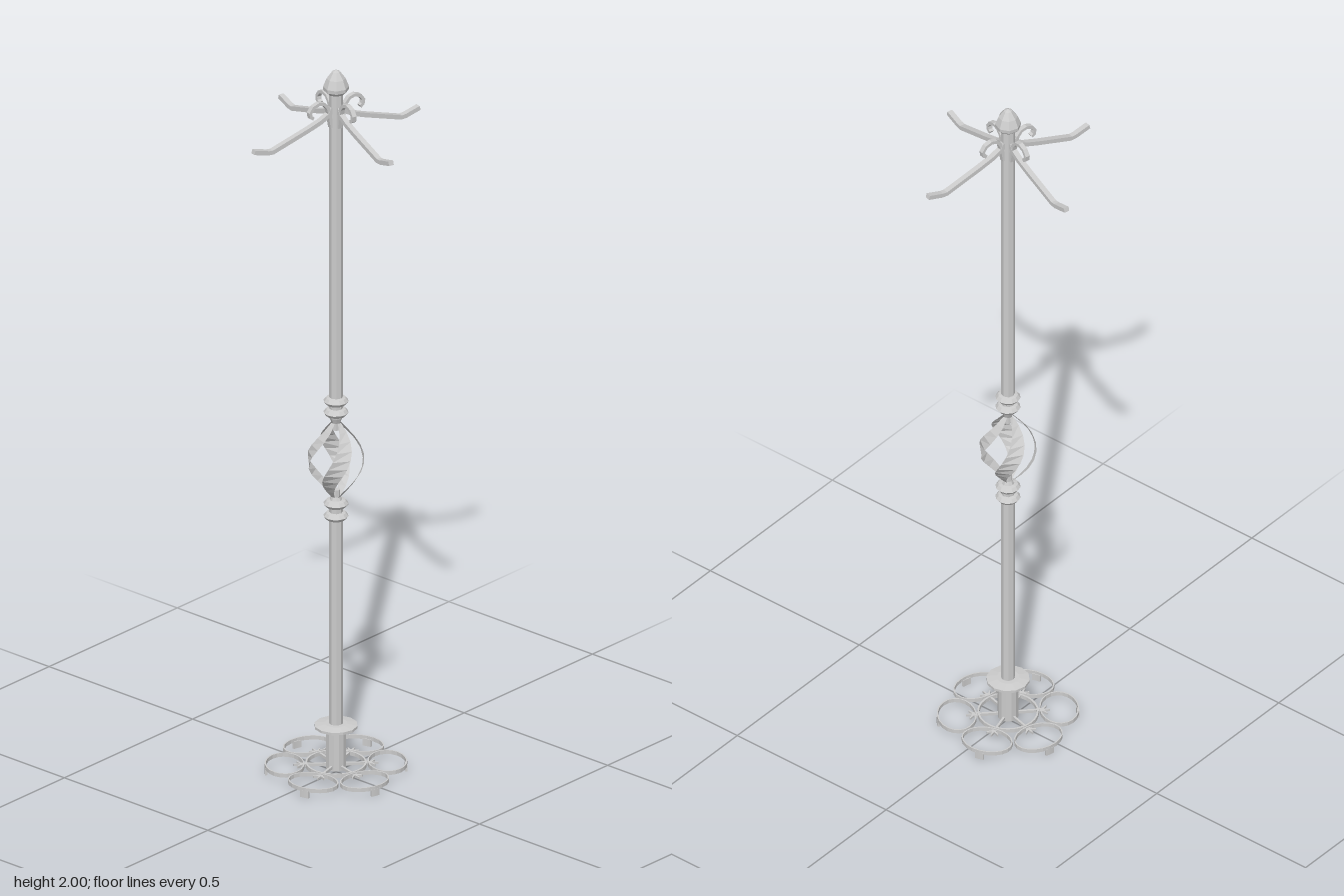
import * as THREE from 'three';

const iron = new THREE.MeshStandardMaterial({ color: 0xcccccc, flatShading: true, side: THREE.DoubleSide });
const TURN = THREE.MathUtils.degToRad(14.5);

function add(parent, name, geometry, y = 0) {
  const mesh = new THREE.Mesh(geometry, iron);
  mesh.name = name;
  mesh.position.y = y;
  parent.add(mesh);
  return mesh;
}

// Turned part from [radius, height] pairs
const turned = (profile, sides = 8) =>
  new THREE.LatheGeometry(profile.map(([r, y]) => new THREE.Vector2(r, y)), sides);

// Flat bar bent along a side profile in the xy plane
function bentBar(path, thick, width) {
  const pts = path.map(([x, y]) => new THREE.Vector2(x, y));
  const sides = [[], []];
  pts.forEach((p, i) => {
    const a = pts[Math.max(i - 1, 0)], b = pts[Math.min(i + 1, pts.length - 1)];
    const n = new THREE.Vector2(a.y - b.y, b.x - a.x).normalize().multiplyScalar(thick / 2);
    sides[0].push(p.clone().add(n));
    sides[1].unshift(p.clone().sub(n));
  });
  const geo = new THREE.ExtrudeGeometry(new THREE.Shape([...sides[0], ...sides[1]]),
    { depth: width, bevelEnabled: false });
  return geo.translate(0, 0, -width / 2);
}

// Plate lying flat, rising by height from y = 0
const plate = (shape, height, curveSegments = 10) =>
  new THREE.ExtrudeGeometry(shape, { depth: height, bevelEnabled: false, curveSegments }).rotateX(-Math.PI / 2);

function ovalRing(rx, ry, wire) {
  const shape = new THREE.Shape().absellipse(0, 0, rx, ry, 0, Math.PI * 2);
  shape.holes.push(new THREE.Path().absellipse(0, 0, rx - wire, ry - wire, 0, Math.PI * 2));
  return shape;
}

// Twisted leaf of the basket: wide in the middle, pinched at both ends
function basketStrip(startAngle) {
  const rows = 10, pos = [], index = [];
  for (let i = 0; i <= rows; i++) {
    const t = i / rows, bulge = Math.sin(Math.PI * t);
    const angle = startAngle - (t - 0.5) * Math.PI / 2;
    const r = 0.012 + 0.06 * Math.pow(bulge, 1.1);
    const half = 0.006 + 0.019 * bulge;
    for (const s of [-1, 1]) {
      pos.push(r * Math.cos(angle) - s * half * Math.sin(angle), 0.785 + 0.21 * t,
        r * Math.sin(angle) + s * half * Math.cos(angle));
    }
    if (i < rows) {
      const k = i * 2;
      index.push(k, k + 2, k + 1, k + 1, k + 2, k + 3);
    }
  }
  const geo = new THREE.BufferGeometry();
  geo.setAttribute('position', new THREE.Float32BufferAttribute(pos, 3));
  geo.setIndex(index);
  geo.computeVertexNormals();
  return geo;
}

export function createModel() {
  const model = new THREE.Group();
  model.name = 'coatStand';

  // Pole in two lengths, necked where the basket sits between them
  add(model, 'lowerPole', turned([[0, 0.1], [0.018, 0.1], [0.018, 0.77], [0.011, 0.785], [0.011, 0.805], [0, 0.805]]));
  add(model, 'upperPole', turned([[0, 0.975], [0.011, 0.975], [0.011, 0.995], [0.018, 1.01], [0.018, 1.94], [0, 1.94]]));

  // Collar rings above and below the basket
  for (const y of [0.73, 0.765, 1.025, 1.057]) {
    add(model, 'collarRing', turned([[0.017, -0.011], [0.026, -0.009], [0.033, 0], [0.026, 0.009], [0.017, 0.011]], 12), y);
  }

  const basket = new THREE.Group();
  basket.name = 'twistedBasket';
  model.add(basket);
  for (let i = 0; i < 4; i++) add(basket, 'basketStrip', basketStrip(Math.PI / 4 + i * Math.PI / 2));

  // Bud-shaped finial
  add(model, 'finial', turned([[0, 1.93], [0.022, 1.932], [0.033, 1.942], [0.034, 1.952], [0.025, 1.975], [0.011, 1.994], [0, 2]]));

  // Four coat arms, each with a small curled hook above
  for (let i = 0; i < 4; i++) {
    const hook = new THREE.Group();
    hook.name = 'hook';
    hook.rotation.y = -(TURN + i * Math.PI / 2);
    model.add(hook);
    add(hook, 'coatArm', bentBar([[0.014, 1.895], [0.024, 1.878], [0.05, 1.864], [0.09, 1.85], [0.2, 1.816],
      [0.215, 1.817], [0.258, 1.829]], 0.012, 0.015));
    add(hook, 'curledHook', bentBar([[0.016, 1.84], [0.022, 1.875], [0.028, 1.898], [0.04, 1.912], [0.056, 1.916],
      [0.073, 1.91], [0.083, 1.896], [0.081, 1.884], [0.073, 1.879]], 0.009, 0.013));
  }

  // Base socket with its flange
  add(model, 'baseSocket', turned([[0, 0.012], [0.027, 0.012], [0.027, 0.12], [0.04, 0.124], [0.057, 0.128],
    [0.057, 0.135], [0.03, 0.139], [0.018, 0.139]], 12));
  add(model, 'innerRing', plate(ovalRing(0.08, 0.08, 0.005), 0.011, 14), 0.017);

  // Six oval loops with a three-pronged ornament, spoke and foot each
  const prongs = new THREE.Shape([[0.076, -0.012], [0.084, -0.006], [0.09, -0.007], [0.1, -0.017], [0.102, -0.015],
    [0.094, -0.003], [0.11, -0.001], [0.11, 0.001], [0.094, 0.003], [0.102, 0.015], [0.1, 0.017], [0.09, 0.007],
    [0.084, 0.006], [0.076, 0.012]].map(([x, y]) => new THREE.Vector2(x, y)));
  const foot = new THREE.Shape();
  foot.absellipse(0, 0, 0.052, 0.069, -0.18, 0.18);
  foot.absellipse(0, 0, 0.046, 0.064, 0.18, -0.18, true);
  for (let i = 0; i < 6; i++) {
    const petal = new THREE.Group();
    petal.name = 'basePetal';
    petal.rotation.y = -(TURN + i * Math.PI / 3);
    model.add(petal);
    add(petal, 'loop', plate(ovalRing(0.052, 0.069, 0.0035), 0.011), 0.017).position.x = 0.134;
    add(petal, 'foot', plate(foot, 0.02, 4)).position.x = 0.134;
    add(petal, 'ornament', plate(prongs, 0.006), 0.019);
    add(petal, 'spoke', new THREE.BoxGeometry(0.056, 0.008, 0.006), 0.022).position.x = 0.05;
  }
  return model;
}
